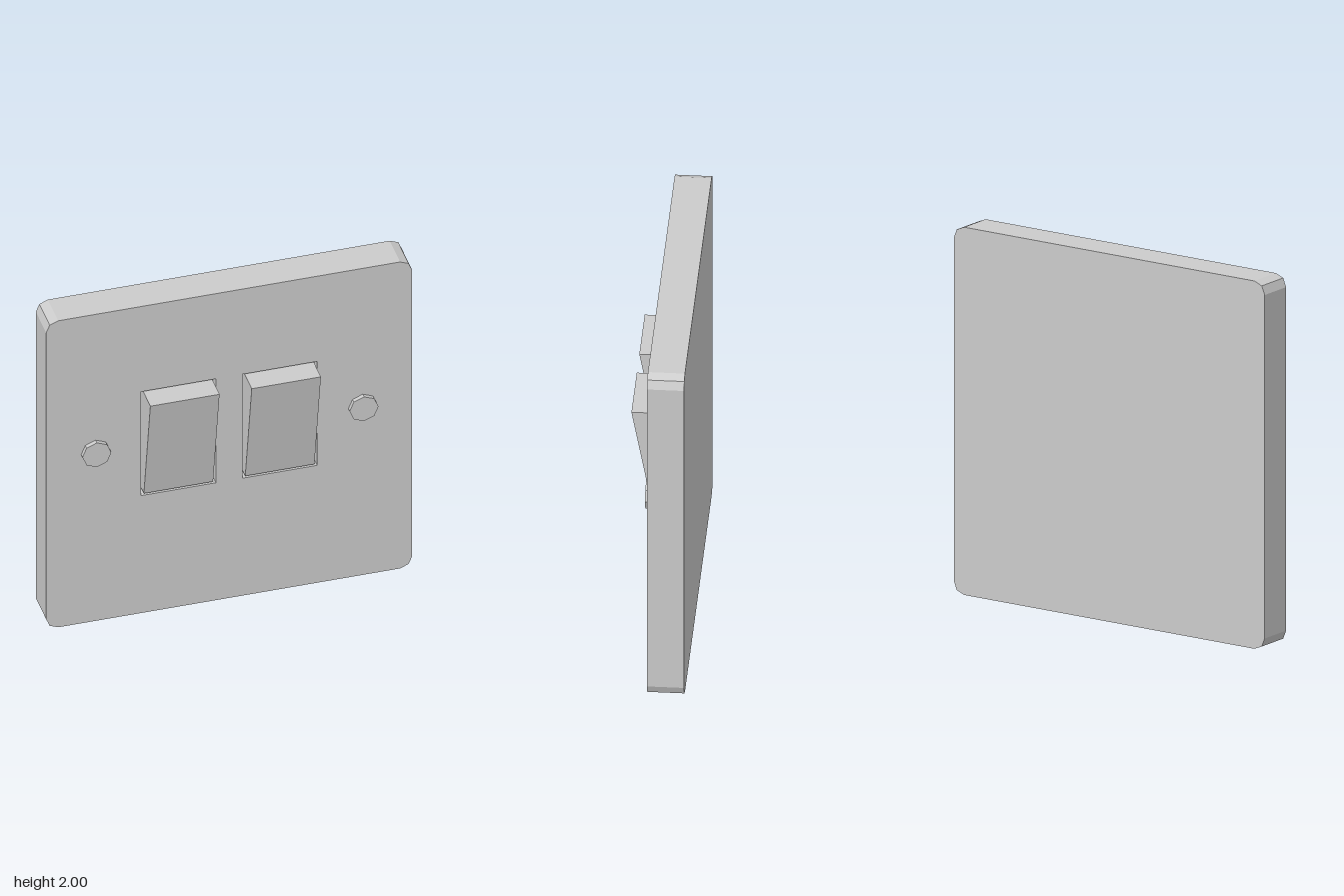
import * as THREE from 'three';
import { mergeGeometries } from 'three/addons/utils/BufferGeometryUtils.js';

const FRONT = 0.035, BACK = -0.16, FLOOR = -0.02;
const ROCKER_X = 0.277, ROCKER_Y = 1.105;
const material = new THREE.MeshStandardMaterial({ color: 0xcccccc, flatShading: true });

// Rectangle outline, counter-clockwise
function rectangle(cx, cy, w, h) {
  return [[-1, -1], [1, -1], [1, 1], [-1, 1]].map(
    ([sx, sy]) => new THREE.Vector2(cx + sx * w / 2, cy + sy * h / 2));
}

// Rounded square outline with two facets per corner, counter-clockwise
function roundedSquare(half, radius) {
  const points = [];
  [[1, 1], [-1, 1], [-1, -1], [1, -1]].forEach(([sx, sy], corner) => {
    for (let i = 0; i <= 2; i++) {
      const a = (corner + i / 2) * Math.PI / 2;
      points.push(new THREE.Vector2(
        sx * (half - radius) + radius * Math.cos(a),
        1 + sy * (half - radius) + radius * Math.sin(a)));
    }
  });
  return points;
}

// Wall around an outline; a clockwise outline faces inwards
function wall(points, z0, z1) {
  const pos = [];
  points.forEach((p, i) => {
    const q = points[(i + 1) % points.length];
    pos.push(p.x, p.y, z0, q.x, q.y, z0, q.x, q.y, z1);
    pos.push(p.x, p.y, z0, q.x, q.y, z1, p.x, p.y, z1);
  });
  const g = new THREE.BufferGeometry();
  g.setAttribute('position', new THREE.Float32BufferAttribute(pos, 3));
  g.computeVertexNormals();
  return g;
}

// Flat face at depth z
function face(shape, z) {
  const g = new THREE.ShapeGeometry(shape).toNonIndexed();
  g.deleteAttribute('uv');
  return g.translate(0, 0, z);
}

function plateGeometry() {
  const outline = roundedSquare(1, 0.066);
  const front = new THREE.Shape(outline);
  const parts = [wall(outline, BACK, FRONT)];

  // Shallow pockets that hold the rockers
  for (const side of [-1, 1]) {
    const rect = rectangle(side * ROCKER_X, ROCKER_Y, 0.408, 0.678);
    front.holes.push(new THREE.Path(rect));
    parts.push(face(new THREE.Shape(rect), FLOOR));
    parts.push(wall([...rect].reverse(), FLOOR, FRONT));
  }
  parts.push(face(front, FRONT));

  // Back face, turned to look towards -z
  parts.push(face(new THREE.Shape(outline), 0).rotateY(Math.PI).translate(0, 0, BACK));
  return mergeGeometries(parts);
}

// Wedge rocker: side profile extruded across its width
function rockerGeometry() {
  const width = 0.378, top = 1.433, bottom = 0.777;
  const profile = new THREE.Shape([
    new THREE.Vector2(-FLOOR, bottom), new THREE.Vector2(-FLOOR, top),
    new THREE.Vector2(-0.157, top), new THREE.Vector2(-FRONT, bottom)]);
  return new THREE.ExtrudeGeometry(profile, { depth: width, bevelEnabled: false })
    .translate(0, 0, -width / 2)
    .rotateY(Math.PI / 2);
}

export function createModel() {
  const group = new THREE.Group();
  group.name = 'lightSwitch';
  const add = (name, geometry, x = 0, y = 0, z = 0) => {
    const mesh = new THREE.Mesh(geometry, material);
    mesh.name = name;
    mesh.position.set(x, y, z);
    group.add(mesh);
  };

  add('wallPlate', plateGeometry());

  const rocker = rockerGeometry();
  const screw = new THREE.CylinderGeometry(0.079, 0.079, 0.025, 8).rotateX(Math.PI / 2);
  for (const [side, prefix] of [[1, 'left'], [-1, 'right']]) {
    add(prefix + 'Rocker', rocker, side * ROCKER_X);
    add(prefix + 'ScrewHead', screw, side * 0.73, 1.1, FRONT + 0.0125);
  }
  return group;
}
